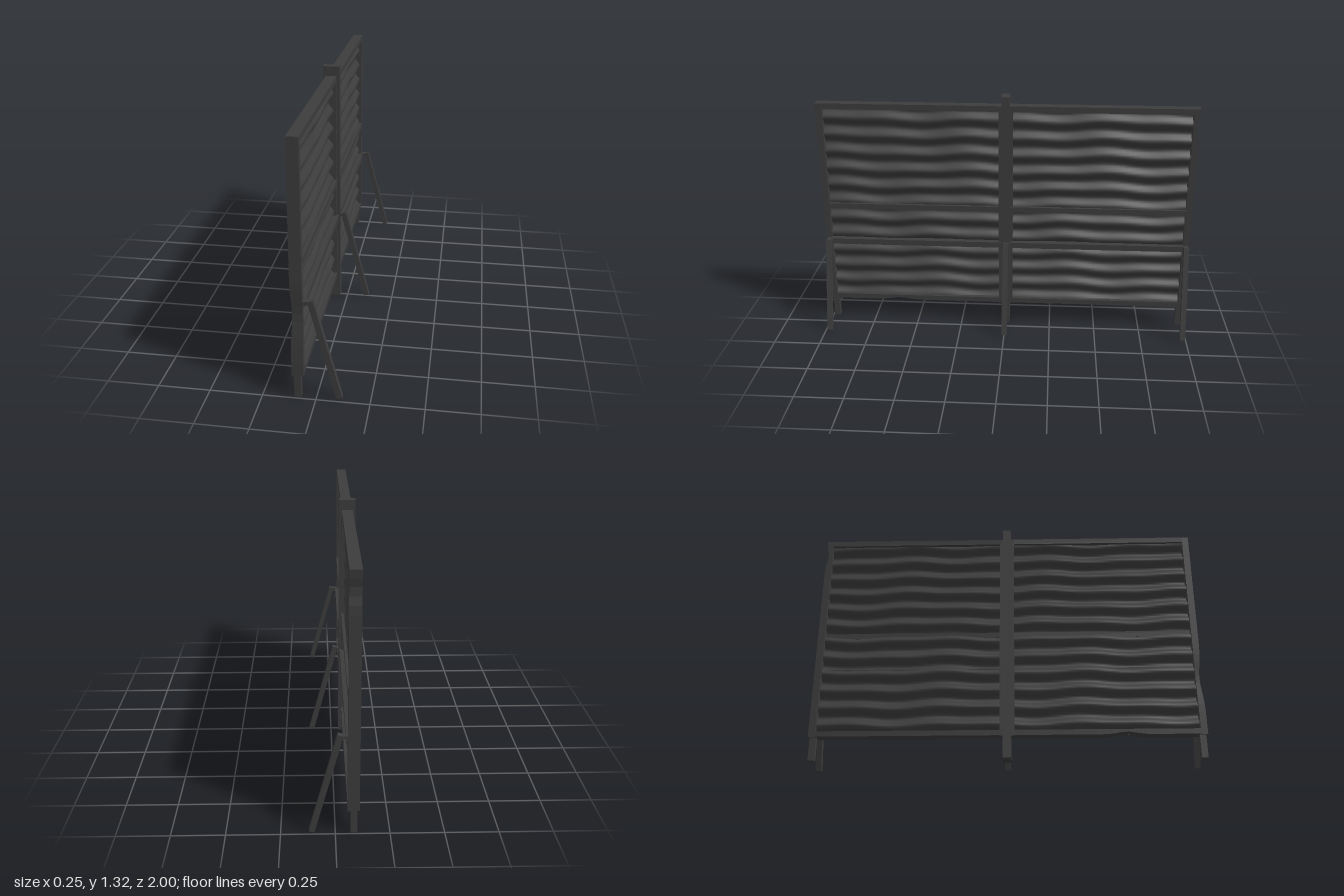
import * as THREE from 'three';

const material = new THREE.MeshStandardMaterial({ color: 0x3c3c3c, flatShading: true });
const sheetMaterial = new THREE.MeshStandardMaterial({ color: 0x3c3c3c, side: THREE.DoubleSide });

// Soft bump of width w around c
const bump = (v, c, w) => Math.exp(-(((v - c) / w) ** 2));

// Box given by its min and max corners, optionally subdivided and dented by a rule
function bar(name, [x0, y0, z0], [x1, y1, z1], dent) {
  const sy = dent ? Math.max(1, Math.round((y1 - y0) / 0.04)) : 1;
  const sz = dent ? Math.max(1, Math.round((z1 - z0) / 0.04)) : 1;
  const geometry = new THREE.BoxGeometry(x1 - x0, y1 - y0, z1 - z0, 1, sy, sz);
  geometry.translate((x0 + x1) / 2, (y0 + y1) / 2, (z0 + z1) / 2);
  if (dent) {
    const p = geometry.attributes.position;
    const v = new THREE.Vector3();
    for (let i = 0; i < p.count; i++) {
      v.fromBufferAttribute(p, i);
      dent(v);
      p.setXYZ(i, v.x, v.y, v.z);
    }
    geometry.computeVertexNormals();
  }
  const mesh = new THREE.Mesh(geometry, material);
  mesh.name = name;
  return mesh;
}

// Corrugated metal sheet with slightly wavering ridges
function corrugatedSheet(side) {
  const width = 0.96, y0 = 0.135, y1 = 1.237;
  const geometry = new THREE.PlaneGeometry(width, y1 - y0, 32, 110);
  geometry.rotateY(Math.PI / 2);
  geometry.translate(-0.082, (y0 + y1) / 2, side * 0.502);
  const p = geometry.attributes.position;
  for (let i = 0; i < p.count; i++) {
    const y = p.getY(i), z = p.getZ(i);
    const waver = 0.006 * Math.sin(z * 9 + y * 3) + 0.004 * Math.sin(z * 17 - y * 5);
    p.setX(i, p.getX(i) + 0.014 * Math.cos(((y + waver - 0.14) / 0.0945) * Math.PI * 2));
  }
  geometry.computeVertexNormals();
  const mesh = new THREE.Mesh(geometry, sheetMaterial);
  mesh.name = 'corrugatedSheet';
  return mesh;
}

// Framed panel on one side of the centre post
function panel(side) {
  const group = new THREE.Group();
  group.name = side > 0 ? 'frontPanel' : 'backPanel';
  const xa = -0.11, xb = -0.055;
  const span = (a, b) => (side > 0 ? [a, b] : [-b, -a]);
  const [r0, r1] = span(0.02, 0.968);
  const [o0, o1] = span(0.966, 1);
  const [i0, i1] = span(0.018, 0.038);

  // Outer upright, knocked in at one spot
  const dentHeight = side > 0 ? 0.42 : 1.17;
  const dentOuter = (v) => {
    const d = bump(v.y, dentHeight, side > 0 ? 0.1 : 0.05);
    if (Math.abs(v.z) > 0.99) v.z -= side * 0.014 * d;
    if (side > 0 && v.x < -0.1) v.x += 0.007 * d;
  };
  // Bottom rail, bent upward near the front end
  const dentBottom = (v) => {
    if (v.y < 0.14) v.y += 0.014 * bump(v.z, 0.6, 0.06);
  };

  group.add(
    corrugatedSheet(side),
    bar('outerUpright', [xa, 0.12, o0], [xb, 1.265, o1], dentOuter),
    bar('innerUpright', [xa, 0.12, i0], [xb, 1.265, i1]),
    bar('topRail', [xa, 1.235, r0], [xb, 1.265, r1]),
    bar('bottomRail', [xa, 0.122, r0], [xb, 0.15, r1], dentBottom),
    bar('middleRail', [-0.082, 0.675, r0], [-0.053, 0.705, r1]),
    bar('lowerRail', [-0.082, 0.466, r0], [-0.046, 0.497, r1])
  );

  // Short foot under the outer upright
  const [f0, f1] = span(0.96, 0.992);
  group.add(bar('foot', [-0.101, 0, f0], [-0.07, 0.13, f1]));
  return group;
}

// Sloping brace with the small bracket that ties it to the panel
function brace(z) {
  const group = new THREE.Group();
  group.name = 'brace';
  const top = new THREE.Vector2(-0.022, 0.502), foot = new THREE.Vector2(0.108, 0.008);
  const strut = new THREE.Mesh(new THREE.BoxGeometry(0.027, top.distanceTo(foot), 0.028), material);
  strut.name = 'strut';
  strut.position.set((top.x + foot.x) / 2, (top.y + foot.y) / 2, z);
  strut.rotation.z = Math.atan2(foot.x - top.x, top.y - foot.y);
  group.add(strut, bar('bracket', [-0.06, 0.484, z - 0.014], [-0.022, 0.5, z + 0.014]));
  return group;
}

export function createModel() {
  const model = new THREE.Group();
  model.name = 'corrugatedFence';
  model.add(panel(1), panel(-1));
  model.add(bar('centrePost', [-0.125, 0, -0.021], [-0.04, 1.315, 0.021]));
  for (const z of [-0.98, -0.002, 0.975]) model.add(brace(z));
  return model;
}
